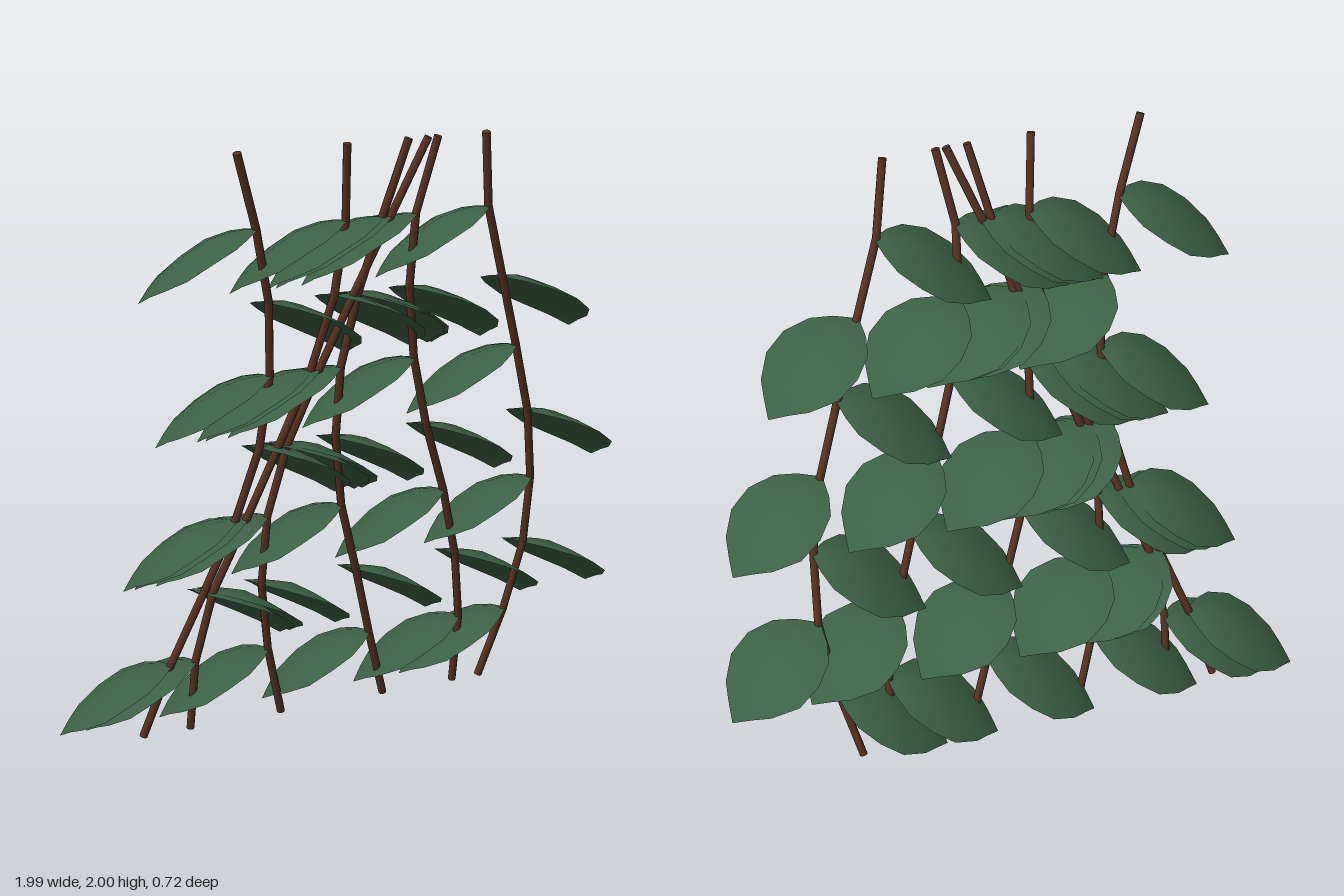
import * as THREE from 'three';

const bark = new THREE.MeshStandardMaterial({ color: 0x5a3220 });
bark.name = 'bark brown';
const green = new THREE.MeshStandardMaterial({ color: 0x3c6144, side: THREE.DoubleSide });
green.name = 'leaf green';

// Sideways sway of each vine at nine evenly spaced heights, top to bottom
const VINES = [
  [-0.59, -0.50, -0.43, -0.40, -0.41, -0.47, -0.56, -0.655, -0.73],
  [-0.215, -0.19, -0.20, -0.255, -0.34, -0.43, -0.525, -0.565, -0.56],
  [0.0, -0.06, -0.115, -0.147, -0.136, -0.085, 0.0, 0.08, 0.165],
  [0.07, -0.03, -0.13, -0.225, -0.31, -0.355, -0.35, -0.30, -0.225],
  [0.105, 0.06, 0.07, 0.12, 0.20, 0.30, 0.38, 0.43, 0.44],
  [0.28, 0.325, 0.415, 0.505, 0.59, 0.64, 0.65, 0.61, 0.545],
];
const nodeAt = (x, i) => new THREE.Vector3(x, 1.993 - i * 0.248, 0.30 - i * 0.0575);

// Leaf cross-sections: [distance out, drop of the midrib, half width]
const RIBS = [
  [0, 0, 0.02], [0.03, 0, 0.085], [0.075, -0.005, 0.15], [0.15, -0.03, 0.19],
  [0.225, -0.08, 0.186], [0.295, -0.14, 0.125], [0.33, -0.18, 0.065], [0.363, -0.222, 0.002],
];
const ACROSS = [-1, -0.5, 0, 0.5, 1];

// Broad arched leaf growing towards side (+1 or -1) and slightly backwards
function leafGeometry(side) {
  const pos = [], index = [];
  const dx = 0.935 * side, dz = -0.355;
  for (const [out, drop, half] of RIBS) {
    for (const v of ACROSS) {
      const w = v * half;
      const droop = 0.04 * Math.pow(Math.abs(w) / 0.19, 1.4);
      pos.push(out * dx - w * dz * side, drop - droop, out * dz + w * dx * side);
    }
  }
  const n = ACROSS.length;
  for (let r = 0; r < RIBS.length - 1; r++) {
    for (let c = 0; c < n - 1; c++) {
      const a = r * n + c, b = a + 1, d = a + n, e = d + 1;
      // Wind both sides so the upper surface is the front
      if (side > 0) index.push(a, b, d, b, e, d);
      else index.push(a, d, b, b, d, e);
    }
  }
  const g = new THREE.BufferGeometry();
  g.setAttribute('position', new THREE.Float32BufferAttribute(pos, 3));
  g.setIndex(index);
  g.computeVertexNormals();
  return g;
}

// Straight stem piece between two nodes
function stemPiece(a, b) {
  const dir = b.clone().sub(a);
  const mesh = new THREE.Mesh(new THREE.CylinderGeometry(0.0135, 0.0135, dir.length() + 0.004, 8), bark);
  mesh.position.copy(a).add(b).multiplyScalar(0.5);
  mesh.quaternion.setFromUnitVectors(new THREE.Vector3(0, 1, 0), dir.normalize());
  mesh.name = 'stemPiece';
  return mesh;
}

export function createModel() {
  const model = new THREE.Group();
  model.name = 'hangingVines';
  const left = leafGeometry(-1), right = leafGeometry(1);
  VINES.forEach((xs) => {
    const vine = new THREE.Group();
    vine.name = 'vine';
    const nodes = xs.map(nodeAt);
    for (let i = 0; i < nodes.length - 1; i++) {
      vine.add(stemPiece(nodes[i], nodes[i + 1]));
      // Leaves alternate sides at the inner nodes
      if (i > 0) {
        const leaf = new THREE.Mesh(i % 2 ? left : right, green);
        leaf.name = 'leaf';
        leaf.position.copy(nodes[i]);
        vine.add(leaf);
      }
    }
    model.add(vine);
  });
  return model;
}
